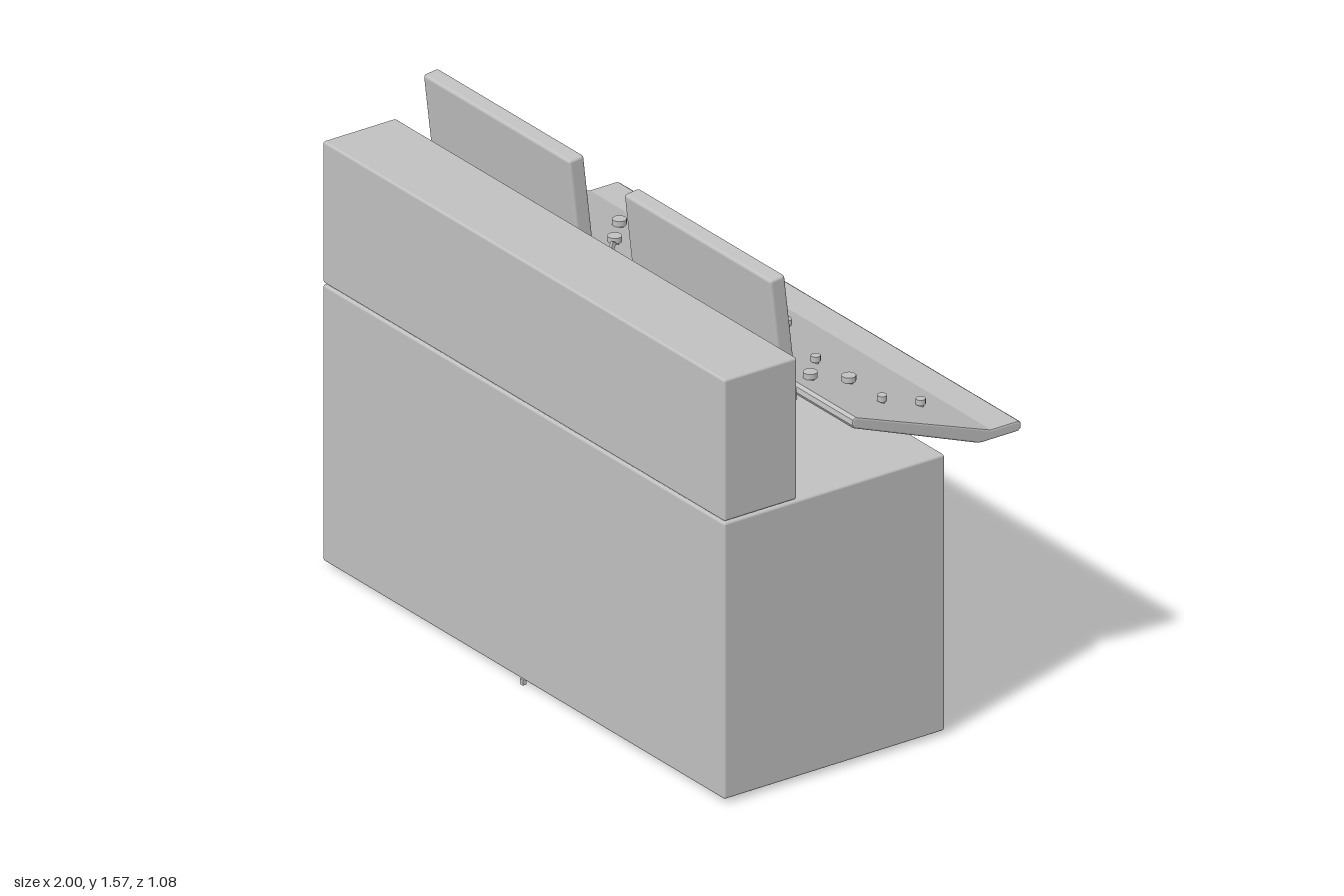
import * as THREE from 'three';
import { RoundedBoxGeometry } from 'three/addons/geometries/RoundedBoxGeometry.js';

export function createModel() {
  const model = new THREE.Group();
  model.name = 'controlConsole';
  const grey = new THREE.MeshStandardMaterial({ color: 0xc0c0c0 });
  grey.name = 'light grey';

  function add(name, geometry, x, y, z, parent = model) {
    const mesh = new THREE.Mesh(geometry, grey);
    mesh.name = name;
    mesh.position.set(x, y, z);
    parent.add(mesh);
    return mesh;
  }

  // Box given by its lower and upper corners, with softened edges
  function block(name, [x0, y0, z0], [x1, y1, z1], radius) {
    const g = new RoundedBoxGeometry(x1 - x0, y1 - y0, z1 - z0, 2, radius);
    return add(name, g, (x0 + x1) / 2, (y0 + y1) / 2, (z0 + z1) / 2);
  }

  // Cabinets
  block('lowerCabinet', [-1, 0.013, -0.264], [1, 0.91, 0.534], 0.008);
  block('upperCabinet', [-1, 0.915, 0.27], [1, 1.375, 0.534], 0.008);
  add('basePin', new THREE.BoxGeometry(0.014, 0.018, 0.014), 0, 0.009, 0.534);

  // Bent desk panel: side profile (-z, y) extruded across the width
  const profile = [
    [-0.058, 1.121], [-0.069, 1.114], [-0.072, 1.098], [-0.064, 1.085],
    [0.385, 0.911], [0.4, 0.909], [0.53, 0.909], [0.54, 0.917],
    [0.54, 0.936], [0.53, 0.943], [0.43, 0.943],
  ];
  const shape = new THREE.Shape(profile.map(([u, y]) => new THREE.Vector2(u, y)));
  const deskGeometry = new THREE.ExtrudeGeometry(shape, {
    depth: 1.988, bevelThickness: 0.006, bevelSize: 0.006, bevelOffset: -0.006, bevelSegments: 2,
  });
  deskGeometry.rotateY(Math.PI / 2);
  add('deskPanel', deskGeometry, -0.994, 0, 0);
  add('underDeskPlate', new THREE.BoxGeometry(0.42, 0.014, 0.18), -0.29, 0.952, -0.27);

  // Height of the sloping desk surface
  const deskTop = (z) => 0.943 + (z + 0.43) * 0.3648;

  // Knobs: x, z and radius
  const large = 0.022, small = 0.015;
  const knobs = [
    [-0.67, -0.3, large], [-0.835, -0.16, large], [-0.5, -0.16, large],
    [0.665, -0.16, large], [-0.835, -0.02, large], [-0.17, -0.02, large],
    [0, -0.02, large], [0.33, -0.02, large], [0.665, -0.02, large],
    [0.165, -0.3, small], [0.83, -0.3, small], [-0.335, -0.16, small],
    [0.5, -0.16, small], [0.83, -0.16, small], [-0.67, -0.02, small],
  ];
  for (const [x, z, r] of knobs) {
    add('knob', new THREE.CylinderGeometry(r, r, 0.018, 14), x, deskTop(z) + 0.016, z);
    add('knobStem', new THREE.CylinderGeometry(r * 0.55, r * 0.55, 0.03, 10), x, deskTop(z) - 0.002, z);
  }

  // Toggle switches: x, z and lean
  const toggles = [[-0.5, -0.3, 0.4], [0, -0.3, -0.4], [-0.17, -0.16, -0.4], [-0.335, -0.02, -0.4]];
  for (const [x, z, lean] of toggles) {
    const toggle = new THREE.Group();
    toggle.name = 'toggleSwitch';
    toggle.position.set(x, deskTop(z), z);
    model.add(toggle);
    add('toggleBase', new THREE.BoxGeometry(0.014, 0.022, 0.026), 0, 0.008, 0, toggle);
    const lever = add('toggleLever', new THREE.BoxGeometry(0.011, 0.045, 0.013), 0, 0.032, Math.sin(lean) * 0.02, toggle);
    lever.rotation.x = lean;
  }

  // Two leaning monitors, screens facing the desk
  for (const side of [-1, 1]) {
    const monitor = new THREE.Group();
    monitor.name = side > 0 ? 'leftMonitor' : 'rightMonitor';
    monitor.position.set(side * 0.5, 1.361, 0.218);
    monitor.rotation.x = 0.117;
    model.add(monitor);
    add('monitorCase', new RoundedBoxGeometry(0.73, 0.426, 0.055, 2, 0.01), 0, 0, 0, monitor);
    add('monitorScreen', new THREE.BoxGeometry(0.685, 0.39, 0.008), 0, -0.008, -0.0265, monitor);
  }

  return model;
}
